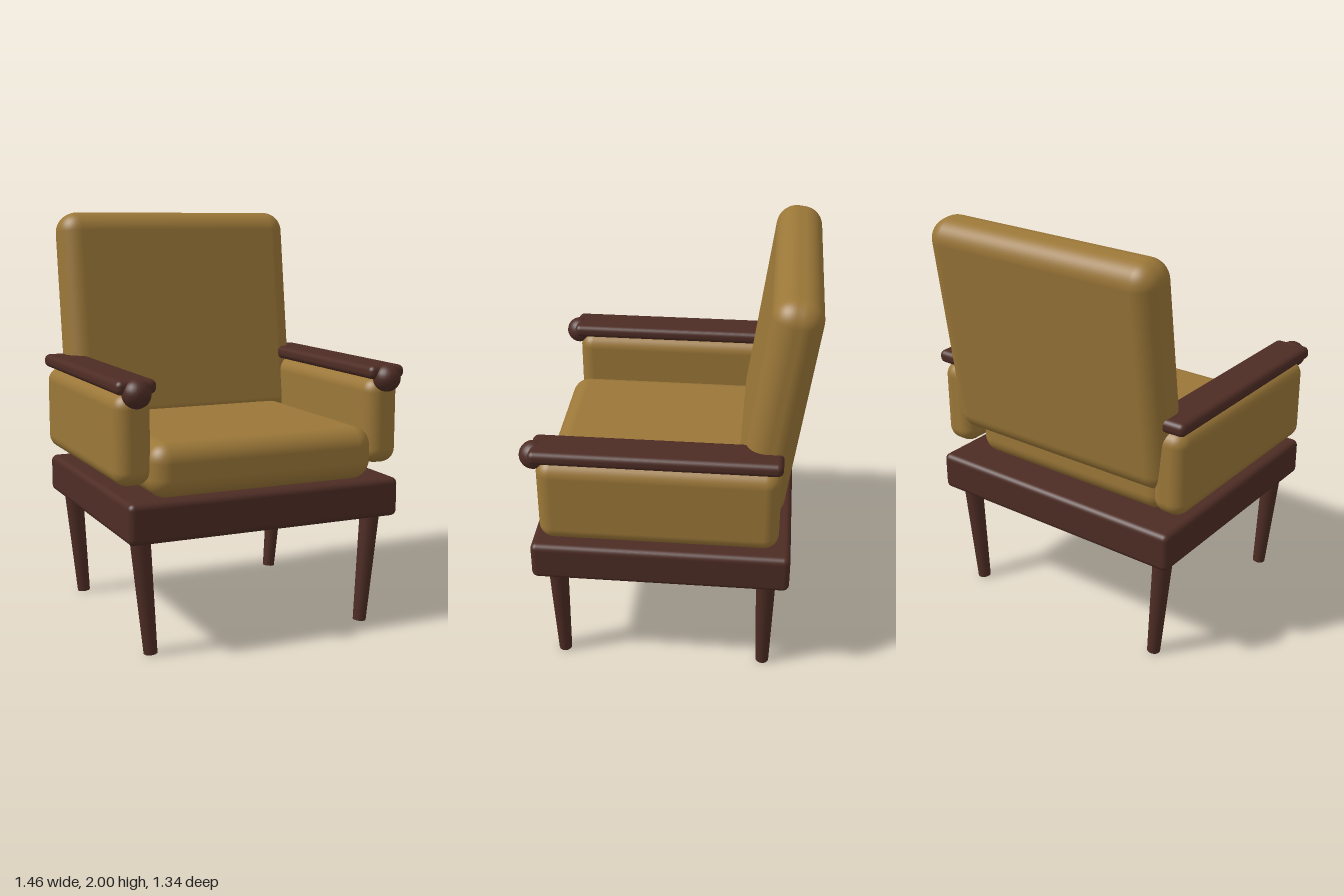
import * as THREE from 'three';
import { RoundedBoxGeometry } from 'three/addons/geometries/RoundedBoxGeometry.js';

export function createModel() {
  const chair = new THREE.Group();
  chair.name = 'armchair';

  const fabric = new THREE.MeshStandardMaterial({ color: 0x9b7738 });
  fabric.name = 'mustard fabric';
  const wood = new THREE.MeshStandardMaterial({ color: 0x4d2c24 });
  wood.name = 'dark wood';

  const add = (name, geometry, material, x, y, z) => {
    const mesh = new THREE.Mesh(geometry, material);
    mesh.name = name;
    mesh.position.set(x, y, z);
    chair.add(mesh);
    return mesh;
  };
  const rounded = (w, h, d, r) => new RoundedBoxGeometry(w, h, d, 6, r);

  // Wooden base and seat cushion
  add('seatFrame', rounded(1.38, 0.19, 1.23, 0.03), wood, 0, 0.64, 0.03);
  add('seatCushion', rounded(1.14, 0.255, 1.07, 0.09), fabric, 0, 0.858, 0.09);

  // Reclined back cushion
  const back = add('backCushion', rounded(1.27, 1.115, 0.228, 0.1), fabric, 0, 1.445, -0.493);
  back.rotation.x = -0.137;

  // Arms and legs, mirrored left and right
  const armGeometry = rounded(0.175, 0.42, 1.115, 0.07);
  const railGeometry = rounded(0.19, 0.065, 1.145, 0.028);
  const knobGeometry = new THREE.SphereGeometry(0.066, 24, 16);
  const legGeometry = new THREE.CylinderGeometry(0.048, 0.032, 0.56, 20);
  for (const [label, side] of [['left', 1], ['right', -1]]) {
    add(label + 'ArmPad', armGeometry, fabric, side * 0.637, 1.005, 0.033);
    add(label + 'ArmRail', railGeometry, wood, side * 0.635, 1.246, 0.042);
    add(label + 'ArmKnob', knobGeometry, wood, side * 0.635, 1.218, 0.602);
    for (const [end, z] of [['Front', 0.53], ['Rear', -0.475]]) {
      const leg = add(label + end + 'Leg', legGeometry, wood, side * 0.578, 0.282, z);
      leg.rotation.z = -side * 0.083; // feet lean inwards
    }
  }

  return chair;
}
